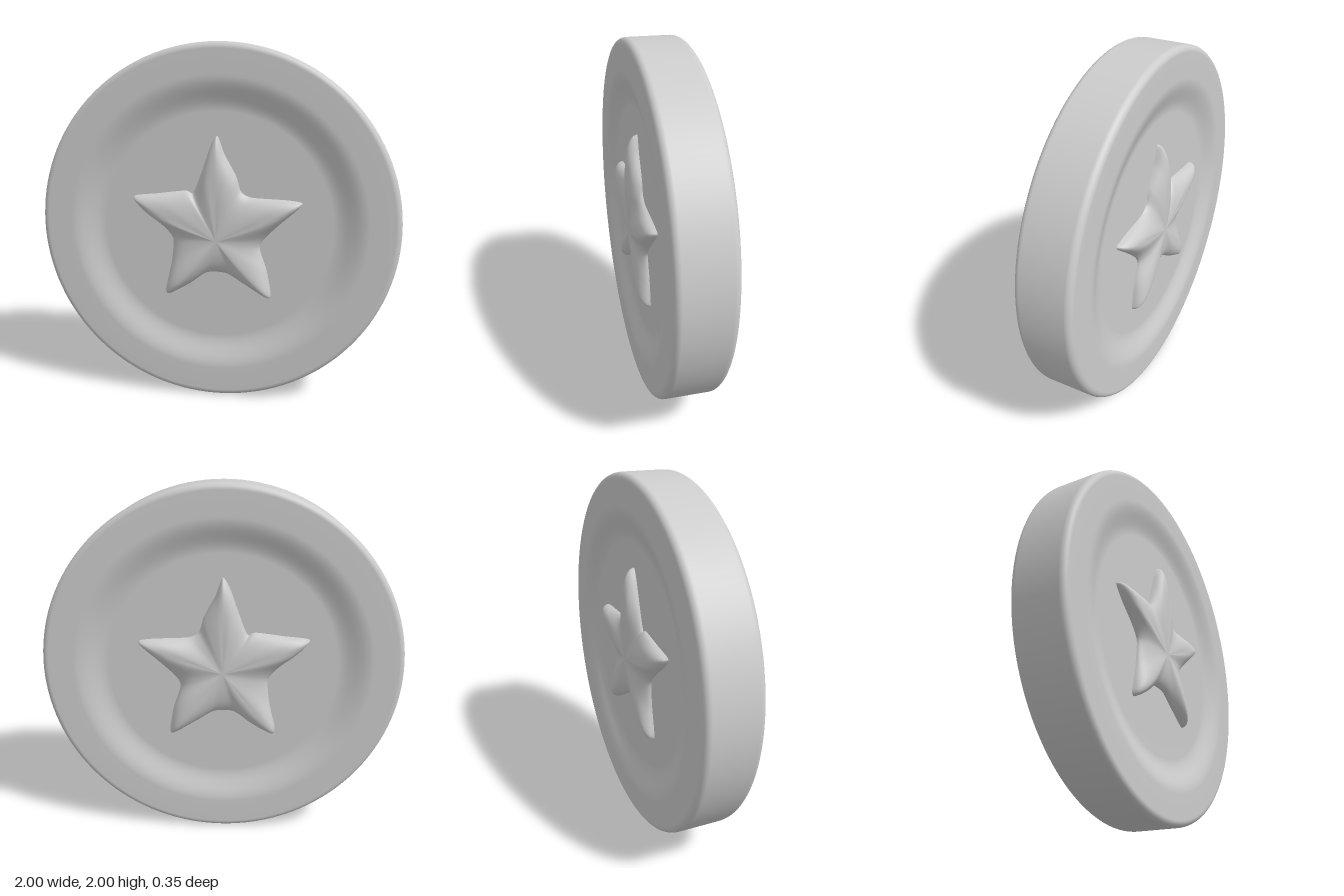
import * as THREE from 'three';

const RIM = 0.155, FIELD = 0.105, STAR_TOP = 0.176;

// Disc: rounded edge, flat rim, soft slope down to a recessed field on both faces
function makeDisc(material) {
  const half = [new THREE.Vector2(0, FIELD), new THREE.Vector2(0.35, FIELD)];
  const steps = 12;
  for (let i = 0; i <= steps; i++) {
    const t = i / steps;
    half.push(new THREE.Vector2(0.64 + 0.19 * t, FIELD + (RIM - FIELD) * (0.5 - 0.5 * Math.cos(Math.PI * t))));
  }
  half.push(new THREE.Vector2(0.9, RIM));
  const r = 0.035;
  for (let i = 0; i <= 6; i++) {
    const a = (i / 6) * Math.PI / 2;
    half.push(new THREE.Vector2(1 - r + r * Math.sin(a), RIM - r + r * Math.cos(a)));
  }
  const back = half.map(p => new THREE.Vector2(p.x, -p.y));
  const profile = back.concat(half.slice().reverse());
  const geometry = new THREE.LatheGeometry(profile, 128);
  geometry.rotateX(Math.PI / 2);
  const disc = new THREE.Mesh(geometry, material);
  disc.name = 'disc';
  disc.position.y = 1;
  return disc;
}

// Uneven star outline, clockwise from the top tip
const OUTLINE = [
  [0, 1.51], [0.04, 1.41], [0.105, 1.29], [0.13, 1.21], [0.19, 1.175], [0.39, 1.165], [0.47, 1.145],
  [0.36, 1.04], [0.265, 0.945], [0.24, 0.885], [0.28, 0.76], [0.305, 0.62], [0.285, 0.6],
  [0.145, 0.68], [0.05, 0.735], [-0.06, 0.735], [-0.16, 0.665], [-0.28, 0.6], [-0.3, 0.63],
  [-0.265, 0.79], [-0.255, 0.93], [-0.32, 1.01], [-0.42, 1.09], [-0.48, 1.165],
  [-0.34, 1.185], [-0.18, 1.205], [-0.135, 1.195], [-0.085, 1.32], [-0.04, 1.45],
];

// Puffed star: shrinking copies of the outline, full along the arms and creased between them
function makeStar(side, cy, material) {
  const curve = new THREE.CatmullRomCurve3(
    OUTLINE.map(([x, y]) => new THREE.Vector3(x, y, 0)), true, 'catmullrom', 0.35);
  const ring = curve.getPoints(145).slice(0, -1);
  const n = ring.length;
  const scales = [0.12, 0.25, 0.4, 0.55, 0.68, 0.78, 0.86, 0.92, 0.96, 0.985, 1];
  const centre = STAR_TOP - 0.01;
  const pos = [0, cy, side * centre];
  for (const s of scales) {
    for (const p of ring) {
      const dx = p.x, dy = p.y - cy;
      const arm = THREE.MathUtils.smoothstep(Math.hypot(dx, dy), 0.24, 0.46);
      const power = 2.6 + 5 * arm;
      const top = THREE.MathUtils.lerp(centre, STAR_TOP - 0.012 * (1 - arm), Math.min(1, s * 2));
      const base = FIELD - 0.005;
      const z = base + (top - base) * Math.sqrt(1 - Math.pow(s, power));
      pos.push(dx * s, cy + dy * s, side * z);
    }
  }
  const index = [];
  const tri = (a, b, c) => (side > 0 ? index.push(a, c, b) : index.push(a, b, c));
  for (let i = 0; i < n; i++) {
    const j = (i + 1) % n;
    tri(0, 1 + i, 1 + j);
    for (let k = 0; k < scales.length - 1; k++) {
      const a = 1 + k * n, b = a + n;
      tri(a + i, b + i, b + j);
      tri(a + i, b + j, a + j);
    }
  }
  const geometry = new THREE.BufferGeometry();
  geometry.setAttribute('position', new THREE.Float32BufferAttribute(pos, 3));
  geometry.setIndex(index);
  geometry.computeVertexNormals();
  const star = new THREE.Mesh(geometry, material);
  star.name = side > 0 ? 'frontStar' : 'backStar';
  return star;
}

export function createModel() {
  const grey = new THREE.MeshStandardMaterial({ color: 0xcccccc });
  grey.name = 'lightGrey';
  const model = new THREE.Group();
  model.name = 'starCoin';
  model.add(makeDisc(grey), makeStar(1, 0.93, grey), makeStar(-1, 0.98, grey));
  return model;
}
